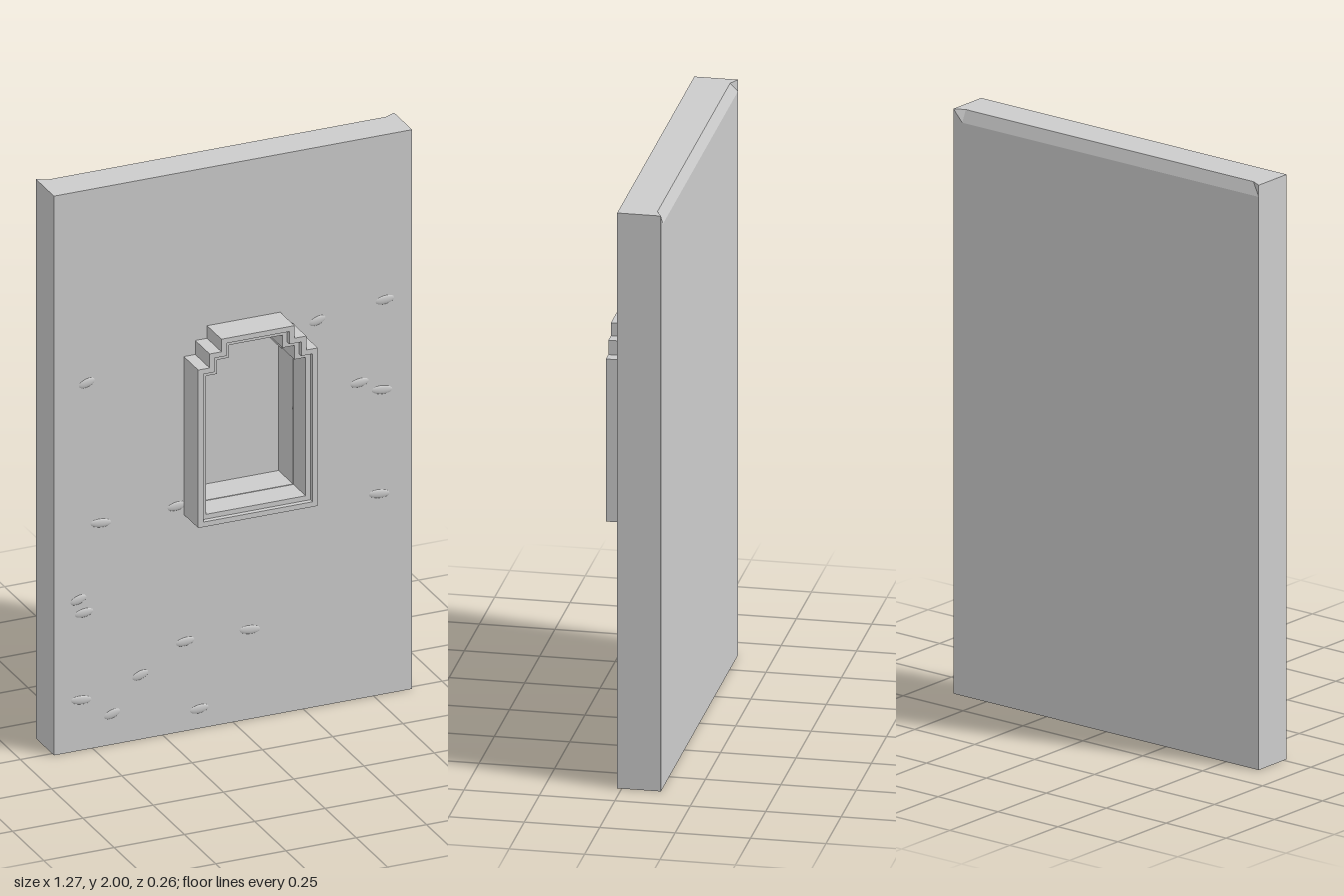
import * as THREE from 'three';

const material = new THREE.MeshStandardMaterial({ color: 0xcccccc });

// Window outline with stepped shoulders, shrunk inward by d
function outline(d, Type = THREE.Path) {
  const half = [[0.2125, 0.775 + d], [0.2125, 1.34 - d], [0.172, 1.34 - d],
    [0.172, 1.39 - d], [0.13, 1.39 - d], [0.13, 1.435 - d]].map(([x, y]) => [x - d, y]);
  const mirrored = half.map(([x, y]) => [-x, y]).reverse();
  return new Type([...half, ...mirrored].map(([x, y]) => new THREE.Vector2(x + 0.0375, y)));
}

function extrude(shape, z0, z1) {
  const g = new THREE.ExtrudeGeometry(shape, { depth: z1 - z0, bevelEnabled: false });
  return g.translate(0, 0, z0);
}

export function createModel() {
  const group = new THREE.Group();
  const add = (name, geometry) => {
    const mesh = new THREE.Mesh(geometry, material);
    mesh.name = name;
    group.add(mesh);
    return mesh;
  };
  const W = 0.637, front = 0.015, recess = -0.1, back = -0.13;

  // Wall slab with the niche cut through its front layer
  const wall = new THREE.Shape([[-W, 0], [W, 0], [W, 2], [-W, 2]].map(p => new THREE.Vector2(...p)));
  wall.holes.push(outline(0.037));
  add('wall', extrude(wall, recess, front));

  // Solid back layer, closing the niche
  const backH = 1.96;
  add('wallBack', new THREE.BoxGeometry(2 * W, backH, recess - back)
    .translate(0, backH / 2, (recess + back) / 2));

  // Top strip of the back layer, with a chamfer that stops short of the corners
  const strip = new THREE.Shape([[-W, -recess], [W, -recess], [W, -back],
    [0.6, 0.111], [-0.6, 0.111], [-W, -back]].map(p => new THREE.Vector2(...p)));
  const cap = extrude(strip, 0, 2 - backH).rotateX(-Math.PI / 2).translate(0, backH, 0);
  const pos = cap.attributes.position;
  for (let i = 0; i < pos.count; i++) {
    if (pos.getY(i) < backH + 0.01 && Math.abs(pos.getX(i)) < 0.62) pos.setZ(i, back);
  }
  cap.computeVertexNormals();
  add('backTopChamfer', cap);

  // Window surround: a proud outer band and a slightly lower inner band
  [['outerFrame', 0, 0.018, 0.13], ['innerFrame', 0.018, 0.035, 0.112]].forEach(([name, a, b, z]) => {
    const ring = outline(a, THREE.Shape);
    ring.holes.push(outline(b));
    add(name, extrude(ring, front - 0.01, z));
  });

  // Shallow plaster bumps scattered over the front
  const bump = new THREE.SphereGeometry(1, 14, 8);
  [[-0.52, 1.31], [0.45, 1.13], [0.53, 1.09], [0.3, 1.38], [0.54, 1.41], [0.25, 1.08],
    [-0.55, 0.54], [-0.53, 0.49], [-0.54, 0.18], [-0.33, 0.23], [-0.17, 0.32], [0.06, 0.32],
    [-0.43, 0.11], [-0.12, 0.07], [0.52, 0.72], [0.22, 0.79], [-0.2, 0.81], [-0.47, 0.8]
  ].forEach(([x, y], i) => {
    const mesh = add('plasterBump', bump);
    mesh.position.set(x, y, front - 0.002);
    mesh.scale.set(0.032 + 0.004 * (i % 3), 0.016, 0.006);
    mesh.rotation.z = 0.3 - 0.2 * (i % 3);
  });
  return group;
}
